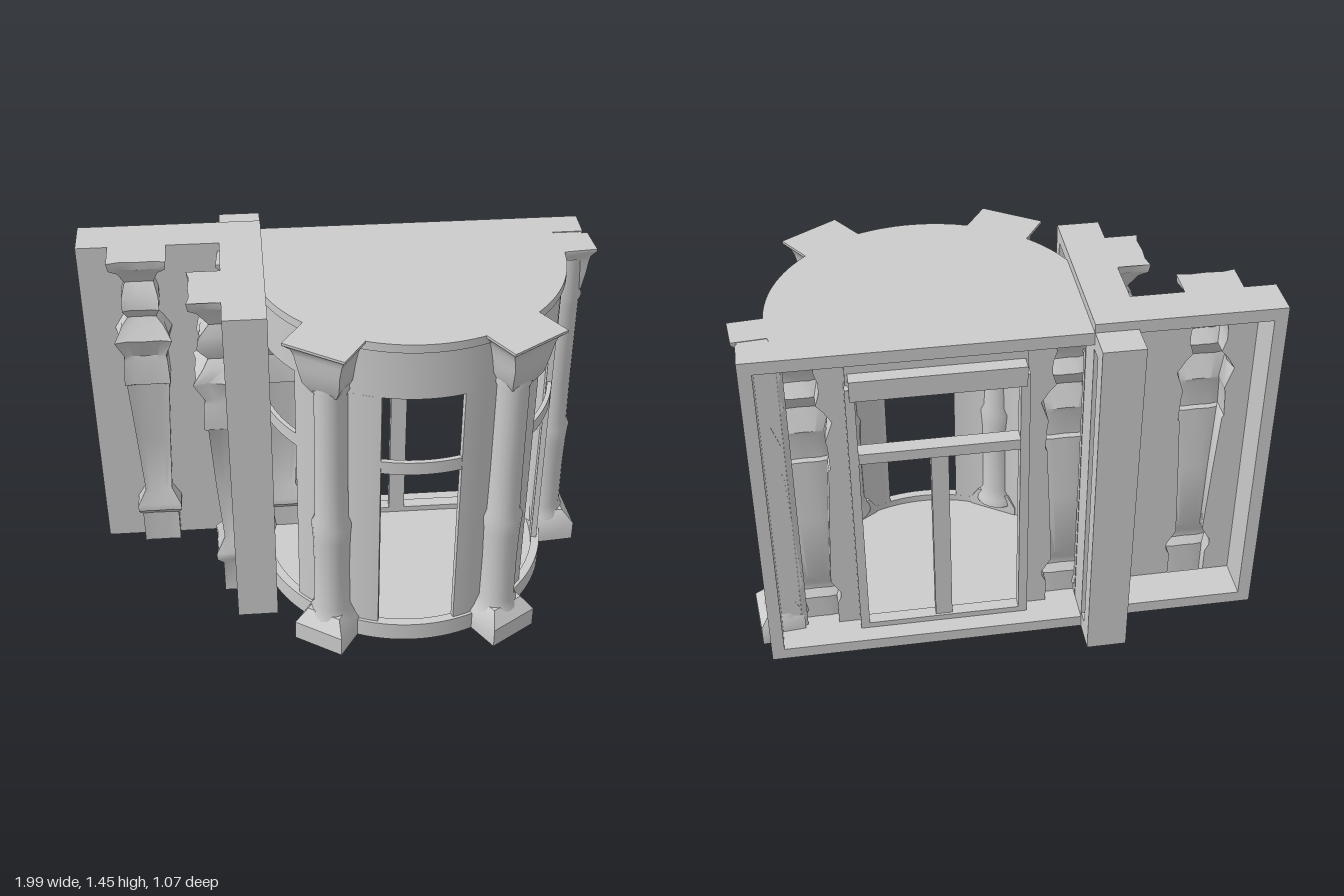
import * as THREE from 'three';
import { toCreasedNormals } from 'three/addons/utils/BufferGeometryUtils.js';

const mat = new THREE.MeshStandardMaterial({ color: 0xcccccc, side: THREE.DoubleSide });
const rad = THREE.MathUtils.degToRad;

function add(parent, name, geo, x = 0, y = 0, z = 0) {
  const m = new THREE.Mesh(geo, mat);
  m.name = name;
  m.position.set(x, y, z);
  parent.add(m);
  return m;
}

function box(parent, name, x0, x1, y0, y1, z0, z1) {
  return add(parent, name, new THREE.BoxGeometry(x1 - x0, y1 - y0, z1 - z0),
    (x0 + x1) / 2, (y0 + y1) / 2, (z0 + z1) / 2);
}

// Skin through horizontal cross-sections: rows = [{ y, pts: [[x, z], ...] }]
function loft(rows, closed, crease = 0.6) {
  const n = rows[0].pts.length, pos = [], idx = [];
  rows.forEach(r => r.pts.forEach(p => pos.push(p[0], r.y, p[1])));
  for (let i = 0; i < rows.length - 1; i++) {
    for (let j = 0; j < (closed ? n : n - 1); j++) {
      const a = i * n + j, b = i * n + (j + 1) % n;
      idx.push(a, b, b + n, a, b + n, a + n);
    }
  }
  if (closed) {
    const t = (rows.length - 1) * n;
    for (let j = 1; j < n - 1; j++) idx.push(0, j + 1, j, t, t + j, t + j + 1);
  }
  const g = new THREE.BufferGeometry();
  g.setAttribute('position', new THREE.Float32BufferAttribute(pos, 3));
  g.setIndex(idx);
  return toCreasedNormals(g, crease);
}

// Curved block about the bay axis, angles in degrees from the front; r0 = 0 gives a full slab
function arcBlock(parent, name, a0, a1, r0, r1, y0, y1) {
  const s = new THREE.Shape(), s0 = rad(90 - a0), s1 = rad(90 - a1);
  s.absarc(0, 0, r1, s0, s1, true);
  if (r0) s.absarc(0, 0, r0, s1, s0, false);
  const g = new THREE.ExtrudeGeometry(s, { depth: y1 - y0, bevelEnabled: false, curveSegments: 32 });
  g.rotateX(Math.PI / 2);
  return add(parent, name, toCreasedNormals(g, 0.5), 0, y1, 0);
}

// Rectangular frame reaching back from z = 0
function frame(parent, name, x0, x1, y0, y1, depth, t) {
  const rect = (P, d) => new P([[x0 + d, y0 + d], [x1 - d, y0 + d], [x1 - d, y1 - d], [x0 + d, y1 - d]]
    .map(p => new THREE.Vector2(...p)));
  const s = rect(THREE.Shape, 0);
  s.holes.push(rect(THREE.Path, t));
  const g = new THREE.ExtrudeGeometry(s, { depth, bevelEnabled: false });
  return add(parent, name, g, 0, 0, -depth);
}

// Pilaster outline: height, half width, projection
const PILASTER = [
  [0, 0.075, 0], [0, 0.075, 0.05], [0.15, 0.075, 0.05], [0.18, 0.09, 0.075], [0.21, 0.09, 0.075],
  [0.27, 0.055, 0.04], [0.55, 0.068, 0.06], [0.83, 0.083, 0.075], [0.84, 0.09, 0.09],
  [0.95, 0.085, 0.085], [0.97, 0.08, 0.08], [1.06, 0.11, 0.12], [1.11, 0.08, 0.08],
  [1.14, 0.055, 0.06], [1.19, 0.07, 0.1], [1.24, 0.07, 0.09], [1.29, 0.055, 0.05],
  [1.35, 0.075, 0.09], [1.38, 0.105, 0.12], [1.415, 0.11, 0.125], [1.415, 0.11, 0],
];

// Thin wall sheet with a pilaster pressed out of it; the wide capitals have waisted flanks
function pilasterSheet(parent, left, right, x, y, z) {
  const rows = PILASTER.map(([h, w, d]) => {
    const v = w > 0.1 ? w * 0.88 : w;
    return {
      y: h,
      pts: [[-left, 0], [-w, 0], [-v, d * 0.5], [-w, d], [-w * 0.6, d * 0.92], [0, d * 0.95],
        [w * 0.6, d * 0.92], [w, d], [v, d * 0.5], [w, 0], [right, 0]],
    };
  });
  return add(parent, 'pilasterWall', loft(rows, false), x, y, z);
}

function wallModule(name, left, right) {
  const g = new THREE.Group();
  g.name = name;
  pilasterSheet(g, left, right, 0, 0, 0);
  frame(g, 'wallFrame', -left, right, 0, 1.415, 0.16, 0.05);
  return g;
}

// Column with a flared pedestal and capital (width scaled by k); local +z points outwards
function column(k) {
  const g = new THREE.Group();
  g.name = 'column';
  const sq = ([y, w, back, front]) => ({ y, pts: [[-w, front], [w, front], [w, -back], [-w, -back]] });
  add(g, 'pedestal', loft([[0, 0.105, 0.06, 0.115], [0.085, 0.105, 0.06, 0.115],
    [0.14, 0.07, 0.06, 0.07]].map(sq), true));
  const shaft = [[0.095, 0.09], [0.09, 0.12], [0.072, 0.16], [0.07, 0.36], [0.073, 0.5], [0.078, 0.57],
    [0.066, 0.6], [0.063, 0.8], [0.062, 1.18], [0.07, 1.2], [0.062, 1.23], [0.062, 1.38]];
  add(g, 'shaft', new THREE.LatheGeometry(shaft.map(p => new THREE.Vector2(...p)), 20));
  add(g, 'capital', loft([[1.19, 0.05, 0.05, 0.05], [1.24, 0.075, 0.05, 0.075],
    [1.31, 0.085, 0.05, 0.09], [1.36, 0.095, 0.05, 0.095], [1.385, 0.105, 0.05, 0.1],
    [1.41, 0.125, 0.05, 0.125], [1.42, 0.125, 0.05, 0.125]]
    .map(([y, w, b, f]) => sq([y, w * k, b, f * (0.5 + k / 2)])), true));
  return g;
}

export function createModel() {
  const model = new THREE.Group();
  model.name = 'bayWindowFacade';

  // Curved bay: floor, roof, wall rings
  const bay = new THREE.Group();
  bay.name = 'bay';
  bay.position.set(0.245, 0, -0.15);
  model.add(bay);
  arcBlock(bay, 'floor', -104, 104, 0, 0.595, 0, 0.05);
  arcBlock(bay, 'roof', -104, 104, 0, 0.595, 1.385, 1.42);
  arcBlock(bay, 'sillWall', -104, 104, 0.56, 0.595, 0.05, 0.08);
  arcBlock(bay, 'lintelWall', -104, 104, 0.56, 0.583, 1.18, 1.385);

  // Piers between the three windows, and the window bars
  for (const [a0, a1] of [[-104, -79], [-51, -15], [15, 51], [79, 104]]) {
    arcBlock(bay, 'wallPier', a0, a1, 0.56, 0.583, 0.08, 1.18);
  }
  for (const a of [-65, 0, 65]) {
    arcBlock(bay, 'transom', a - 15, a + 15, 0.563, 0.581, 0.835, 0.89);
  }

  // Columns: angle, distance from the axis, capital width
  for (const [a, r, k] of [[33, 0.605, 1], [95, 0.625, 0.52]]) {
    for (const side of [-1, 1]) {
      const c = column(k);
      c.rotation.y = side * rad(a);
      c.position.set(side * Math.sin(rad(a)) * r, 0, Math.cos(rad(a)) * r);
      bay.add(c);
    }
  }

  // Rear wall of the bay, with pilasters either side of a window
  const rear = new THREE.Group();
  rear.name = 'rearWall';
  rear.position.set(0.245, 0, -0.29);
  model.add(rear);
  frame(rear, 'rearFrame', -0.695, 0.695, 0, 1.42, 0.12, 0.05);
  pilasterSheet(rear, 0.2, 0.17, -0.495, 0.005, 0).scale.y = 0.985;
  pilasterSheet(rear, 0.17, 0.2, 0.495, 0.005, 0).scale.y = 0.985;
  for (const [x0, x1] of [[-0.69, -0.56], [0.56, 0.69]]) {
    box(rear, 'endReturn', x0, x1, 0.002, 1.418, 0.002, 0.05);
  }
  box(rear, 'rearLintel', -0.33, 0.33, 1.21, 1.4, -0.02, 0);
  box(rear, 'rearSill', -0.33, 0.33, 0.03, 0.05, -0.04, 0);
  frame(rear, 'windowFrame', -0.335, 0.335, 0.04, 1.22, 0.05, 0.035);
  box(rear, 'windowHood', -0.32, 0.32, 1.185, 1.27, -0.075, -0.01);
  box(rear, 'windowTransom', -0.3, 0.3, 0.89, 0.935, -0.06, 0);
  box(rear, 'windowMullion', -0.033, 0.033, 0.07, 0.89, -0.04, 0);

  // Side wing, and the wall that crosses it at right angles
  const wing = wallModule('sideWing', 0.23, 0.47);
  wing.position.set(-0.77, 0.04, -0.25);
  model.add(wing);
  const cross = wallModule('crossWall', 0.47, 0.23);
  cross.rotation.y = -Math.PI / 2;
  cross.position.set(-0.46, 0.04, 0.062);
  model.add(cross);

  // Rear stub of the cross wall, hollow towards the bay
  const stub = new THREE.Group();
  stub.name = 'rearStub';
  stub.rotation.y = -Math.PI / 2;
  stub.position.set(-0.458, 0, 0);
  frame(stub, 'stubFrame', -0.535, -0.27, 0, 1.42, 0.157, 0.07);
  box(stub, 'stubWall', -0.53, -0.275, 0.01, 1.41, -0.02, -0.002);
  model.add(stub);

  return model;
}
